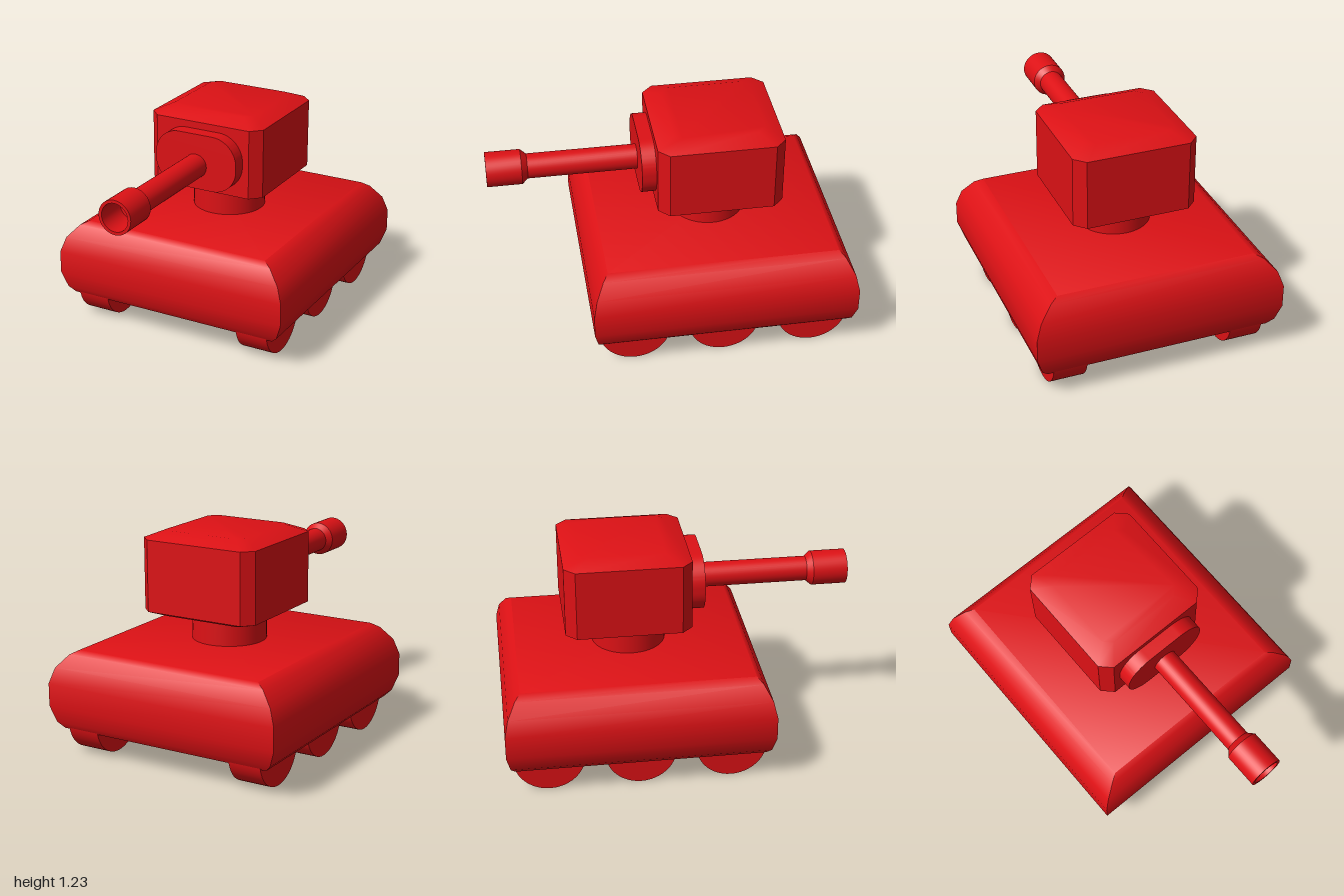
import * as THREE from 'three';
import { toCreasedNormals } from 'three/addons/utils/BufferGeometryUtils.js';

const red = new THREE.MeshStandardMaterial({ color: 0xdd1115 });
const redShell = new THREE.MeshStandardMaterial({ color: 0xdd1115, side: THREE.DoubleSide });

// Stacks scaled copies of an outline (unit x/z points, counter-clockwise from above).
// Each level is [y, halfX, halfZ].
function loft(outline, levels, closeBottom) {
  const pos = [], idx = [], n = outline.length;
  for (const [y, hx, hz] of levels)
    for (const [x, z] of outline) pos.push(x * hx, y, z * hz);
  for (let l = 0; l < levels.length - 1; l++)
    for (let i = 0; i < n; i++) {
      const a = l * n + i, b = l * n + (i + 1) % n;
      idx.push(a, b, b + n, a, b + n, a + n);
    }
  const top = (levels.length - 1) * n;
  for (let i = 1; i < n - 1; i++) {
    idx.push(top, top + i, top + i + 1);
    if (closeBottom) idx.push(0, i + 1, i);
  }
  const geo = new THREE.BufferGeometry();
  geo.setAttribute('position', new THREE.Float32BufferAttribute(pos, 3));
  geo.setIndex(idx);
  return toCreasedNormals(geo, 0.75);
}

function roundedRect(hw, hh, r) {
  const s = new THREE.Shape();
  s.absarc(hw - r, hh - r, r, 0, Math.PI / 2);
  s.absarc(-hw + r, hh - r, r, Math.PI / 2, Math.PI);
  s.absarc(-hw + r, -hh + r, r, Math.PI, Math.PI * 1.5);
  s.absarc(hw - r, -hh + r, r, Math.PI * 1.5, Math.PI * 2);
  return s;
}

export function createModel() {
  const model = new THREE.Group();
  const add = (name, geo, x, y, z, material = red) => {
    const mesh = new THREE.Mesh(geo, material);
    mesh.name = name;
    mesh.position.set(x, y, z);
    model.add(mesh);
  };

  // Hull: a rounded shell, open underneath
  const square = [[1, 1], [1, -1], [-1, -1], [-1, 1]];
  const profile = [[0.15, 0.07], [0.187, 0.033], [0.28, 0], [0.41, 0], [0.5, 0.032], [0.575, 0.1], [0.6, 0.147]];
  const hullLevels = profile.map(([y, inset]) => [y, 0.712 - inset, 0.746 - inset * 0.65]);
  add('hull', loft(square, hullLevels, false), 0, 0, -0.255, redShell);

  // Wheels: three on each side
  const wheel = new THREE.CylinderGeometry(0.2, 0.2, 0.19, 48).rotateZ(Math.PI / 2);
  for (const side of [1, -1])
    for (const z of [0.255, -0.255, -0.765])
      add(side > 0 ? 'leftWheel' : 'rightWheel', wheel, side * 0.515, 0.2, z);

  // Turret neck
  add('turretNeck', new THREE.CylinderGeometry(0.21, 0.21, 0.2, 48), 0, 0.67, -0.255);

  // Turret: a box with cut corners and shallow sloped top and bottom
  const c = 0.83;
  const octagon = [[1, c], [1, -c], [c, -1], [-c, -1], [-1, -c], [-1, c], [-c, 1], [c, 1]];
  const turretLevels = [[0.755, 0.27, 0.27], [0.788, 0.354, 0.353], [1.192, 0.354, 0.353], [1.234, 0.255, 0.255]];
  add('turret', loft(octagon, turretLevels, true), 0, 0, -0.278);

  // Gun mount plate
  const plate = new THREE.ExtrudeGeometry(roundedRect(0.256, 0.163, 0.15),
    { depth: 0.085, bevelEnabled: false, curveSegments: 12 });
  add('gunMount', toCreasedNormals(plate, 0.6), 0, 0.988, 0.07);

  // Barrel with a wider hollow muzzle
  const barrelProfile = [[0.07, 0.1], [0.07, 0.77], [0.098, 0.803], [0.098, 1], [0.08, 1], [0.074, 0.83], [0, 0.83]]
    .map(([r, z]) => new THREE.Vector2(r, z));
  const barrel = new THREE.LatheGeometry(barrelProfile, 40).rotateX(Math.PI / 2);
  add('barrel', toCreasedNormals(barrel, 0.5), 0, 0.963, 0);

  return model;
}
